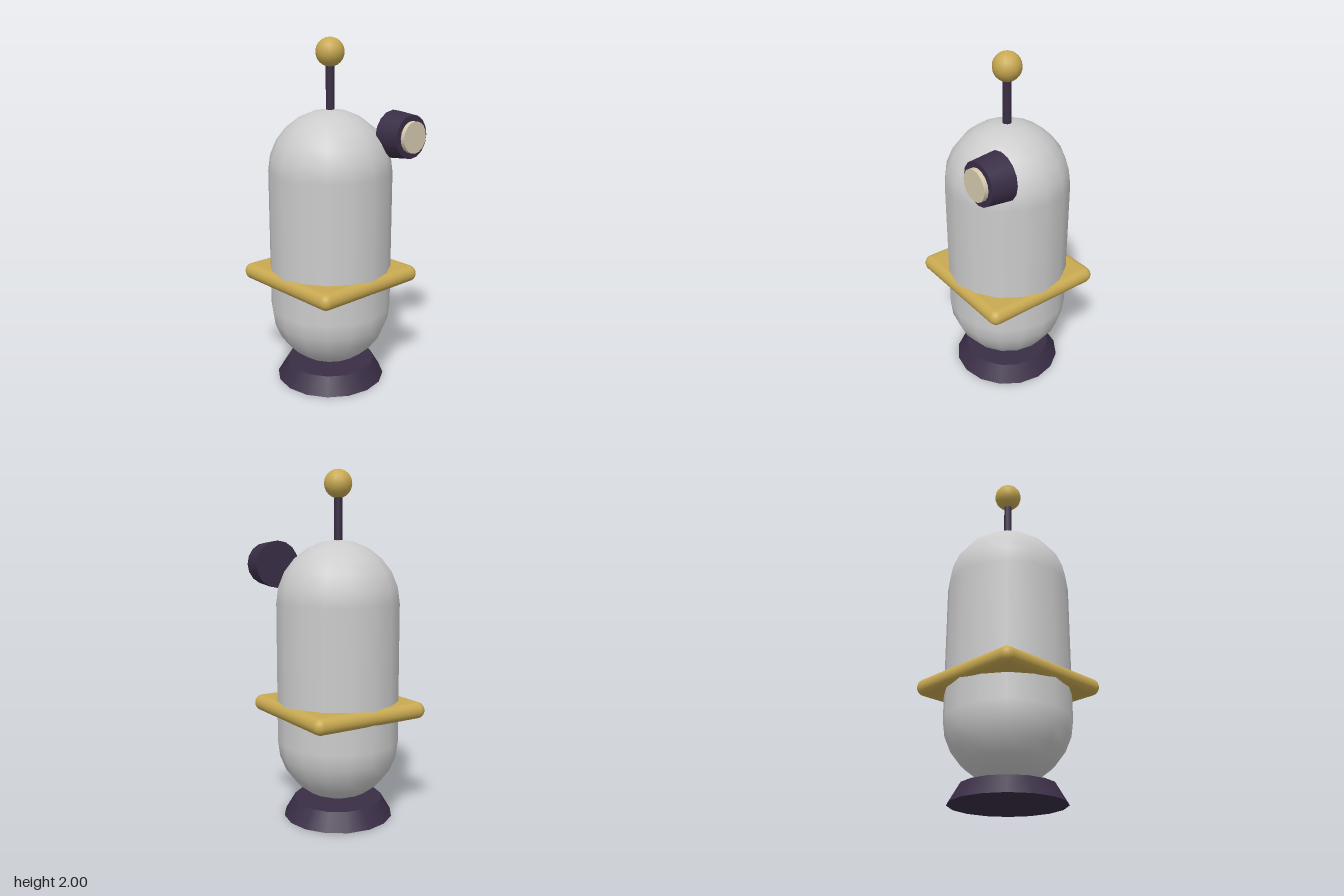
import * as THREE from 'three';
import { RoundedBoxGeometry } from 'three/addons/geometries/RoundedBoxGeometry.js';

export function createModel() {
  const model = new THREE.Group();
  model.name = 'robot';
  const grey = new THREE.MeshStandardMaterial({ color: 0xcccccc });
  const gold = new THREE.MeshStandardMaterial({ color: 0xc8a951 });
  const dark = new THREE.MeshStandardMaterial({ color: 0x3a2e46 });
  const cream = new THREE.MeshStandardMaterial({ color: 0xd8ccb0 });

  // Everything but the eye shares one upright axis
  const axisX = -0.013, axisZ = -0.018;
  const add = (name, geometry, material, y, x = axisX, z = axisZ) => {
    const mesh = new THREE.Mesh(geometry, material);
    mesh.name = name;
    mesh.position.set(x, y, z);
    model.add(mesh);
    return mesh;
  };

  // Flared foot
  add('base', new THREE.CylinderGeometry(0.26, 0.32, 0.1, 16), dark, 0.05);

  // Capsule body with a square belt plate through it
  add('body', new THREE.CapsuleGeometry(0.354, 0.8, 6, 16), grey, 0.857);
  add('belt', new RoundedBoxGeometry(0.74, 0.095, 0.74, 4, 0.047), gold, 0.648);

  // Antenna
  add('antennaRod', new THREE.CylinderGeometry(0.024, 0.024, 0.28, 12), dark, 1.73);
  add('antennaBall', new THREE.SphereGeometry(0.08, 16, 12), gold, 1.92);

  // Eye on the left side of the head, facing forward
  const eyeX = 0.246, eyeY = 1.47;
  const housing = new THREE.CylinderGeometry(0.122, 0.136, 0.144, 16).rotateX(Math.PI / 2);
  add('eyeHousing', housing, dark, eyeY, eyeX, 0.289);
  const lens = new THREE.CylinderGeometry(0.089, 0.089, 0.05, 16).rotateX(Math.PI / 2);
  add('eyeLens', lens, cream, eyeY, eyeX, 0.361);

  return model;
}
